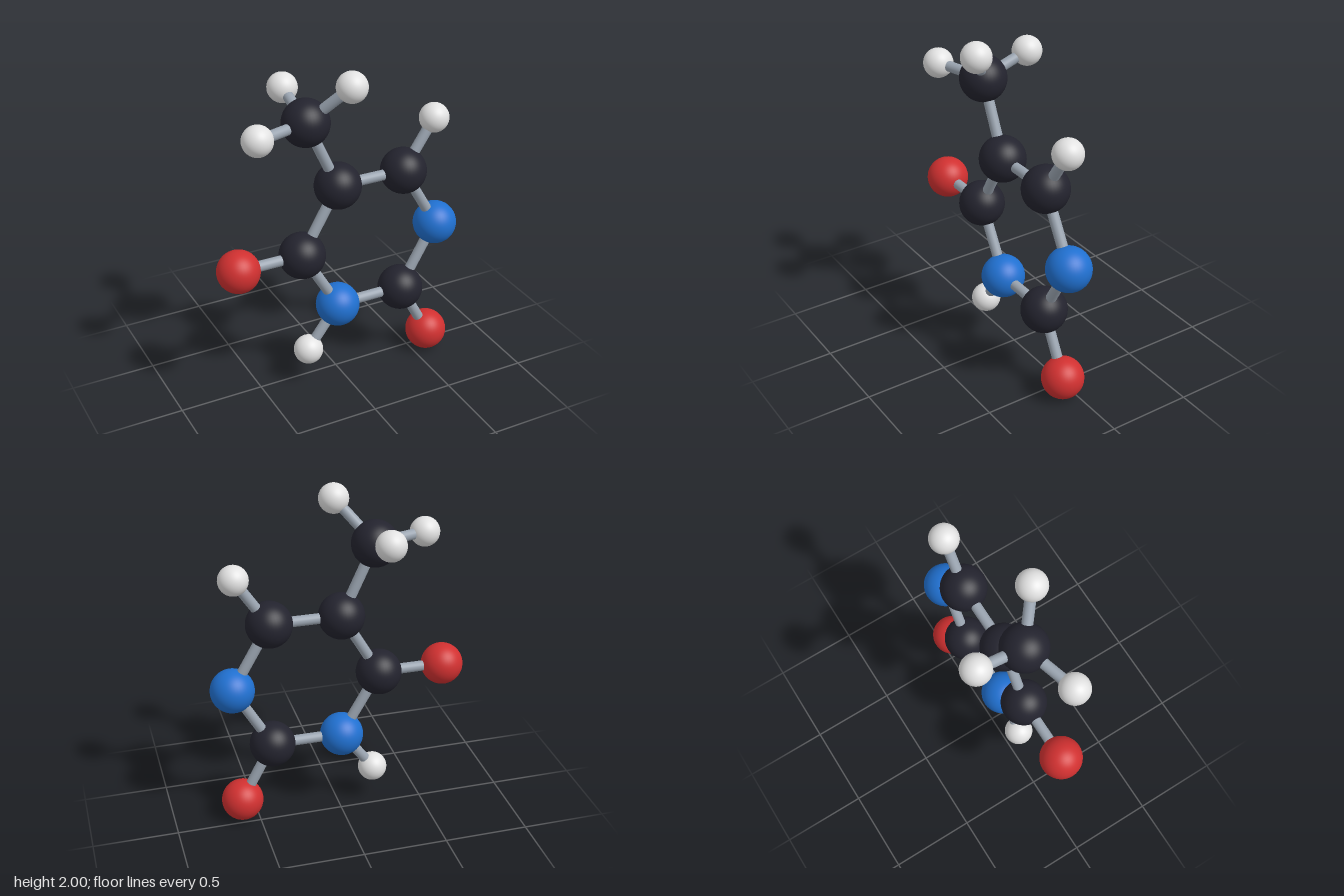
import * as THREE from 'three';

const PLANE = 0.064; // depth of the flat ring

const material = (name, color) => {
  const m = new THREE.MeshStandardMaterial({ color });
  m.name = name;
  return m;
};

export function createModel() {
  const model = new THREE.Group();
  model.name = 'molecule';

  const elements = {
    carbon: { radius: 0.135, mat: material('charcoal', 0x23232e) },
    nitrogen: { radius: 0.129, mat: material('blue', 0x2070d0) },
    oxygen: { radius: 0.124, mat: material('red', 0xd03030) },
    hydrogen: { radius: 0.087, mat: material('white', 0xe2e2e2) },
  };
  const bondMat = material('bond grey', 0x9aa4b0);

  // Atom centres: element, x, y, z
  const atoms = {
    ringCarbonTopLeft: ['carbon', -0.02, 1.267, PLANE],
    ringCarbonTopRight: ['carbon', 0.402, 1.267, PLANE],
    ringNitrogenRight: ['nitrogen', 0.627, 0.877, PLANE],
    ringCarbonBottom: ['carbon', 0.402, 0.488, PLANE],
    ringNitrogenBottom: ['nitrogen', -0.02, 0.488, PLANE],
    ringCarbonLeft: ['carbon', -0.246, 0.877, PLANE],
    oxygenLeft: ['oxygen', -0.638, 0.877, PLANE],
    oxygenBottom: ['oxygen', 0.595, 0.13, PLANE],
    hydrogenBottom: ['hydrogen', -0.214, 0.228, PLANE],
    hydrogenTopRight: ['hydrogen', 0.595, 1.558, PLANE],
    methylCarbon: ['carbon', -0.214, 1.688, PLANE],
    methylHydrogenFront: ['hydrogen', -0.02, 1.915, 0.227],
    methylHydrogenSide: ['hydrogen', -0.54, 1.688, 0.161],
    methylHydrogenBack: ['hydrogen', -0.214, 1.786, -0.229],
  };

  const bonds = [
    ['oxygenLeft', 'ringCarbonLeft'],
    ['oxygenBottom', 'ringCarbonBottom'],
    ['hydrogenBottom', 'ringNitrogenBottom'],
    ['hydrogenTopRight', 'ringCarbonTopRight'],
    ['methylCarbon', 'ringCarbonTopLeft'],
    ['methylCarbon', 'methylHydrogenFront'],
    ['methylCarbon', 'methylHydrogenSide'],
    ['methylCarbon', 'methylHydrogenBack'],
  ];
  // Close the six-membered ring
  const ring = Object.keys(atoms).slice(0, 6);
  ring.forEach((name, i) => bonds.push([name, ring[(i + 1) % 6]]));

  // Atoms
  for (const e of Object.values(elements)) e.geo = new THREE.SphereGeometry(e.radius, 40, 28);
  const centre = {};
  for (const [name, [element, ...p]] of Object.entries(atoms)) {
    const atom = new THREE.Mesh(elements[element].geo, elements[element].mat);
    atom.name = name;
    atom.position.set(...p);
    centre[name] = atom.position;
    model.add(atom);
  }

  // Bonds: cylinders running from centre to centre
  const up = new THREE.Vector3(0, 1, 0);
  for (const [from, to] of bonds) {
    const dir = centre[to].clone().sub(centre[from]);
    const bond = new THREE.Mesh(new THREE.CylinderGeometry(0.031, 0.031, dir.length(), 20, 1, true), bondMat);
    bond.name = `bond ${from} to ${to}`;
    bond.position.copy(centre[from]).addScaledVector(dir, 0.5);
    bond.quaternion.setFromUnitVectors(up, dir.normalize());
    model.add(bond);
  }

  return model;
}
